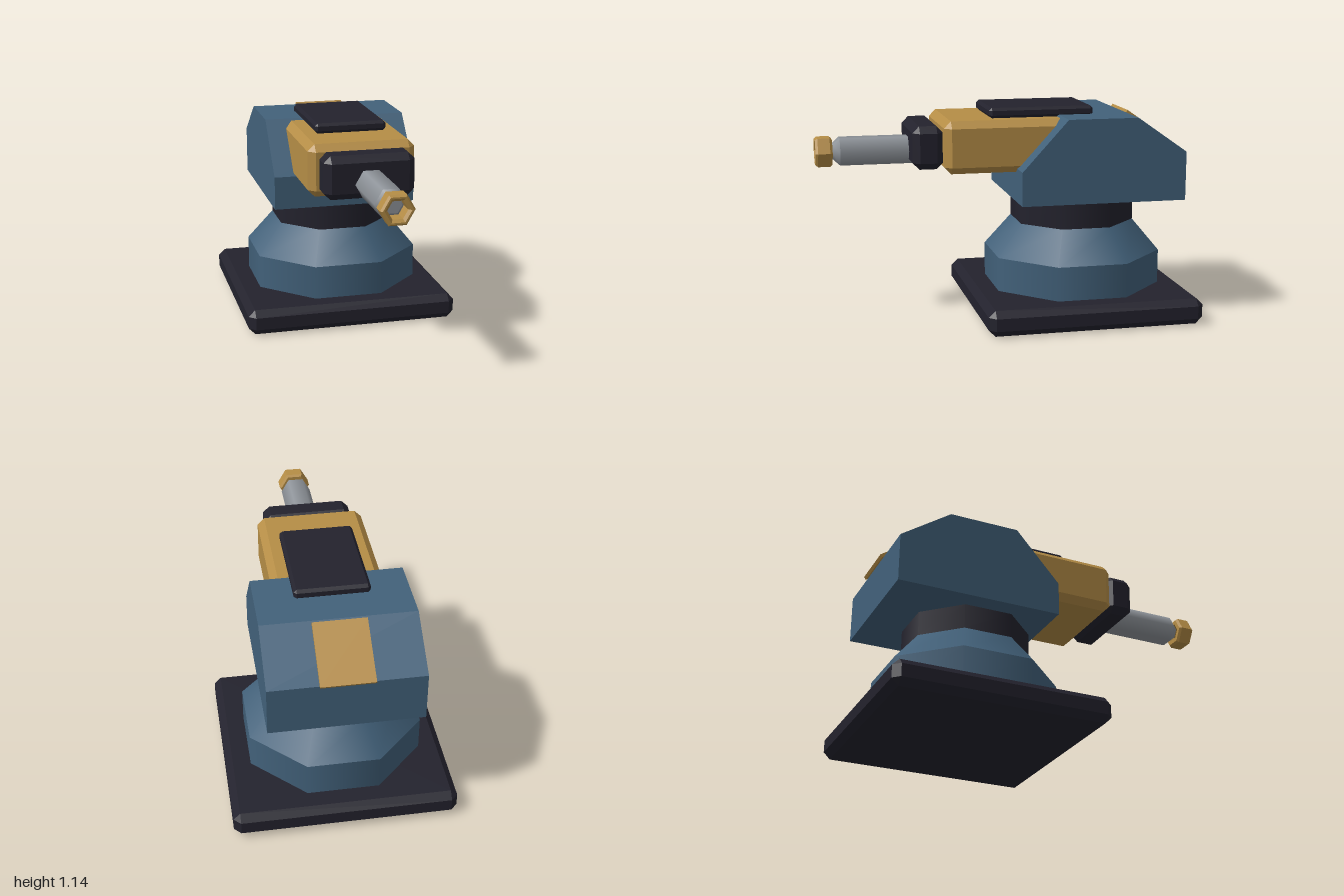
import * as THREE from 'three';
import { ConvexGeometry } from 'three/addons/geometries/ConvexGeometry.js';

const mat = (name, color) => {
  const m = new THREE.MeshStandardMaterial({ color });
  m.name = name;
  return m;
};

export function createModel() {
  const blue = mat('steelBlue', 0x42617a);
  const dark = mat('charcoal', 0x23222d);
  const gold = mat('ochre', 0xb58d46);
  const grey = mat('grey', 0x8f949a);

  const group = new THREE.Group();
  const add = (name, geometry, material, x = 0, y = 0, z = 0) => {
    const mesh = new THREE.Mesh(geometry, material);
    mesh.name = name;
    mesh.position.set(x, y, z);
    group.add(mesh);
    return mesh;
  };

  // Box with every edge chamfered by c, given its y and z limits
  const chamferBox = (name, material, halfX, y0, y1, z0, z1, c) => {
    const h = [halfX, (y1 - y0) / 2, (z1 - z0) / 2];
    const pts = [];
    for (const sx of [-1, 1]) for (const sy of [-1, 1]) for (const sz of [-1, 1])
      for (let full = 0; full < 3; full++) {
        const p = h.map((v, i) => (i === full ? v : v - c));
        pts.push(new THREE.Vector3(p[0] * sx, p[1] * sy, p[2] * sz));
      }
    return add(name, new ConvexGeometry(pts), material, 0, (y0 + y1) / 2, (z0 + z1) / 2);
  };

  // Upright octagonal section with flats facing the sides; radii are across the flats
  const pedestalZ = -0.415;
  const octagon = (name, material, r0, r1, y0, y1) => {
    const k = 1 / Math.cos(Math.PI / 8);
    const g = new THREE.CylinderGeometry(r1 * k, r0 * k, y1 - y0, 8).rotateY(Math.PI / 8);
    return add(name, g, material, 0, (y0 + y1) / 2, pedestalZ);
  };

  // Hexagonal section lying along z
  const axisY = 0.913;
  const hexagon = (name, material, r0, r1, z0, z1) => {
    const g = new THREE.CylinderGeometry(r1, r0, z1 - z0, 6).rotateY(Math.PI / 6).rotateX(Math.PI / 2);
    return add(name, g, material, 0, axisY, (z0 + z1) / 2);
  };

  // Base and pedestal
  chamferBox('basePlate', dark, 0.585, 0, 0.14, -1, 0.17, 0.036);
  octagon('pedestalBody', blue, 0.455, 0.455, 0.13, 0.325);
  octagon('pedestalShoulder', blue, 0.455, 0.317, 0.325, 0.497);
  octagon('pedestalNeck', dark, 0.317, 0.317, 0.497, 0.632);

  // Turret housing: side profile (z, y) extruded across x
  const profile = [[-0.043, 0.648], [-0.043, 0.83], [-0.29, 1.1], [-0.67, 1.1], [-0.942, 0.91], [-0.942, 0.648]];
  const shape = new THREE.Shape(profile.map(([z, y]) => new THREE.Vector2(-z, y)));
  const housing = new THREE.ExtrudeGeometry(shape, { depth: 0.79, bevelEnabled: false });
  housing.translate(0, 0, -0.395).rotateY(Math.PI / 2);
  add('turretHousing', housing, blue);

  // Panel on the rear slope
  const panel = add('rearPanel', new THREE.BoxGeometry(0.275, 0.018, 0.328), gold, 0, 1.006, -0.822);
  panel.rotation.x = -Math.atan2(0.19, 0.272);

  // Gun body, top hatch and barrel collar
  chamferBox('gunBody', gold, 0.287, 0.81, 1.09, -0.35, 0.345, 0.037);
  chamferBox('topHatch', dark, 0.195, 1.09, 1.145, -0.48, 0.09, 0.015);
  chamferBox('barrelCollar', dark, 0.24, 0.832, 1.062, 0.342, 0.505, 0.036);

  // Barrel with tapered tip
  hexagon('barrel', grey, 0.083, 0.083, 0.46, 0.87);
  hexagon('barrelTip', grey, 0.083, 0.045, 0.87, 0.908);

  // Hollow hexagonal muzzle ring
  const ring = [[0.052, 0], [0.077, 0], [0.088, 0.013], [0.088, 0.077], [0.077, 0.09], [0.068, 0.09], [0.052, 0.076], [0.052, 0]];
  const muzzle = new THREE.LatheGeometry(ring.map(([r, y]) => new THREE.Vector2(r, y)), 6)
    .rotateY(Math.PI / 6).rotateX(Math.PI / 2).toNonIndexed();
  muzzle.computeVertexNormals();
  add('muzzleRing', muzzle, gold, 0, axisY, 0.91);

  return group;
}
